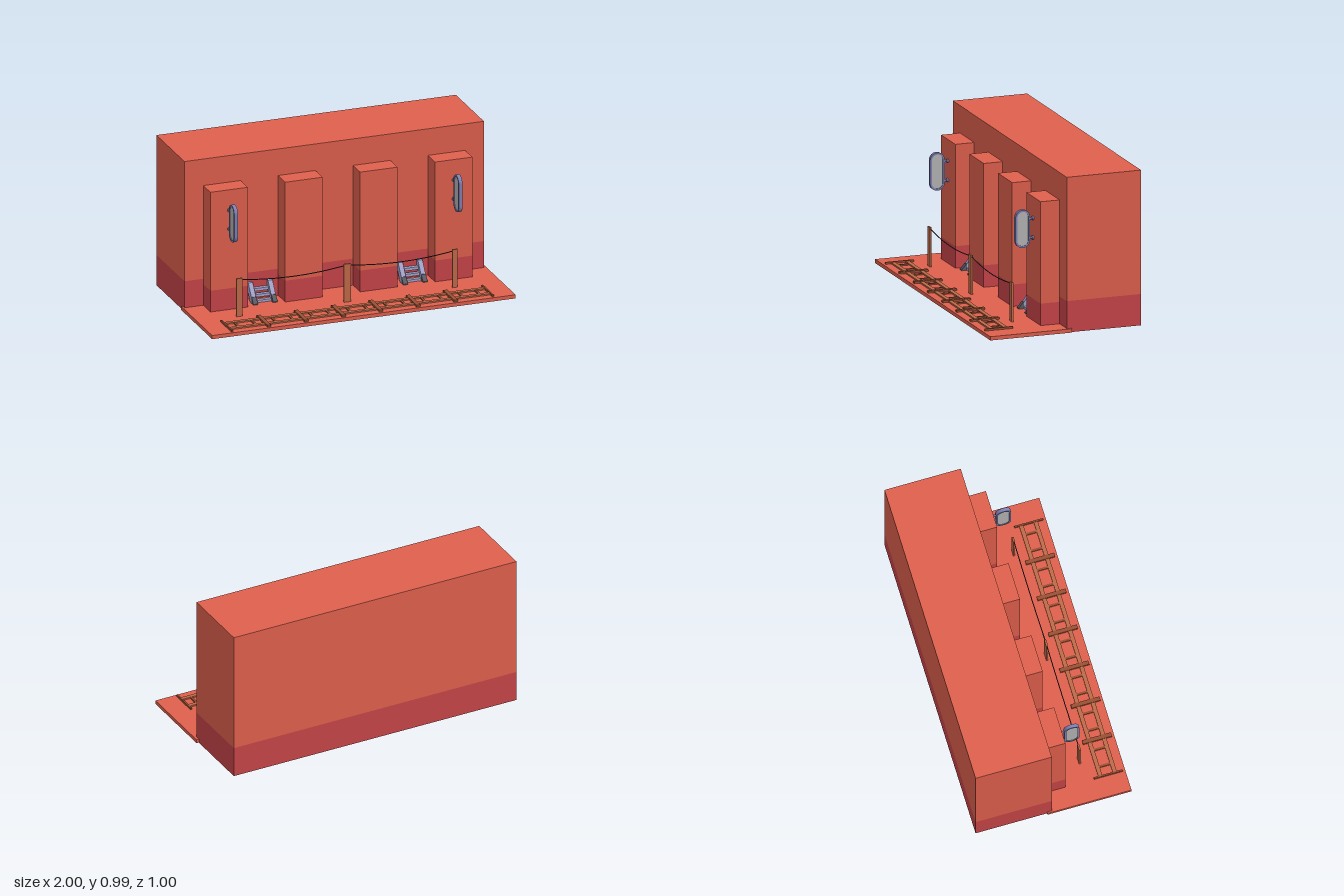
import * as THREE from 'three';

const mat = (color, side = THREE.FrontSide) =>
  new THREE.MeshStandardMaterial({ color, side });
const WALL = mat(0xe0604d), BASE = mat(0xc74548), WOOD = mat(0xbf6a48), DARKWOOD = mat(0x9a5034);
const STEEL = mat(0xa3a3cc), FOOT = mat(0x5c5c68), FRAME = mat(0x8080b4), PANEL = mat(0xb4b4b4), ROPE = mat(0x4a3030);

function mesh(parent, name, geometry, material) {
  const m = new THREE.Mesh(geometry, material);
  m.name = name;
  parent.add(m);
  return m;
}

// Box given by its lower and upper corner
function box(parent, name, material, [x0, y0, z0], [x1, y1, z1]) {
  const m = mesh(parent, name, new THREE.BoxGeometry(x1 - x0, y1 - y0, z1 - z0), material);
  m.position.set((x0 + x1) / 2, (y0 + y1) / 2, (z0 + z1) / 2);
  return m;
}

function group(parent, name, x = 0, y = 0, z = 0) {
  const g = new THREE.Group();
  g.name = name;
  g.position.set(x, y, z);
  parent.add(g);
  return g;
}

// Upright rounded outline, half width r, half height h
function stadium(r, h) {
  const s = new THREE.Shape();
  s.absarc(0, h - r, r, 0, Math.PI, false);
  s.absarc(0, r - h, r, Math.PI, Math.PI * 2, false);
  s.closePath();
  return s;
}

// Profile in (z, y) extruded across x, centred on x
function sideProfile(parent, name, material, points, x, width) {
  const shape = new THREE.Shape(points.map(([z, y]) => new THREE.Vector2(-z, y)));
  const geo = new THREE.ExtrudeGeometry(shape, { depth: width, bevelEnabled: false });
  geo.translate(0, 0, -width / 2).rotateY(Math.PI / 2);
  mesh(parent, name, geo, material).position.x = x;
}

// Oval sign standing out from a pillar on two brackets
function addSign(parent, x) {
  const sign = group(parent, 'ovalSign', x, 0.62, 0.19);
  const outline = stadium(0.048, 0.121);
  outline.holes.push(stadium(0.036, 0.109));
  const opts = (depth) => ({ depth, bevelEnabled: false, curveSegments: 16 });
  const place = (name, shape, depth, material) => mesh(sign, name,
    new THREE.ExtrudeGeometry(shape, opts(depth)).translate(0, 0, -depth / 2).rotateY(Math.PI / 2), material);
  place('signFrame', outline, 0.024, FRAME);
  place('signPanel', stadium(0.037, 0.11), 0.016, PANEL);
  for (const y of [-0.063, 0.061]) {
    const arm = mesh(sign, 'bracketArm', new THREE.CylinderGeometry(0.007, 0.007, 0.03, 12).rotateX(Math.PI / 2), FRAME);
    arm.position.set(0, y, -0.06);
    const plate = mesh(sign, 'bracketPlate', new THREE.CylinderGeometry(0.012, 0.012, 0.012, 12).rotateX(Math.PI / 2), FRAME);
    plate.position.set(0, y, -0.069);
  }
}

// Short steel steps between two sloping stringers
function addSteps(parent, x) {
  const steps = group(parent, 'steps', x);
  for (const s of [-1, 1]) {
    sideProfile(steps, 'stringer', STEEL,
      [[-0.01, 0.1], [-0.01, 0.14], [0.01, 0.14], [0.065, 0.066], [0.065, 0.025], [0.04, 0.025]], s * 0.065, 0.03);
    sideProfile(steps, 'stringerFoot', FOOT,
      [[0.06, 0.025], [0.06, 0.066], [0.07, 0.066], [0.1, 0.03], [0.1, 0.025]], s * 0.065, 0.03);
  }
  for (let i = 0; i < 3; i++) {
    const y = 0.1 - i * 0.03, z = -0.01 + i * 0.025;
    box(steps, 'tread', STEEL, [-0.05, y - 0.018, z], [0.05, y, z + 0.027]);
  }
}

export function createModel() {
  const model = new THREE.Group();
  model.name = 'buildingWithTrack';
  const cx = -0.003; // centre of everything on the slab

  box(model, 'groundSlab', WALL, [-1, 0.001, -0.04], [1, 0.025, 0.5]);

  // Main block with darker plinth
  box(model, 'plinth', BASE, [cx - 0.987, 0, -0.5], [cx + 0.987, 0.2, -0.01]);
  box(model, 'mainWall', WALL, [cx - 0.987, 0.2, -0.5], [cx + 0.987, 0.99, -0.01]);

  // Four pillars on the front
  for (const px of [-0.74, -0.247, 0.247, 0.74]) {
    const x = cx + px;
    box(model, 'pillarBase', BASE, [x - 0.123, 0.005, -0.015], [x + 0.123, 0.165, 0.115]);
    box(model, 'pillar', WALL, [x - 0.123, 0.165, -0.015], [x + 0.123, 0.815, 0.115]);
  }

  for (const s of [-1, 1]) {
    addSign(model, cx + s * 0.74);
    addSteps(model, cx + s * 0.494);
  }

  // Rope fence: three posts and two sagging ropes
  const posts = [-0.725, -0.014, 0.696];
  posts.forEach((x, i) => {
    const w = i === 1 ? 0.023 : i === 0 ? 0.02 : 0.017;
    box(model, 'fencePost', WOOD, [x - w, 0.025, 0.238], [x + w, 0.275, 0.25]);
    if (i === 0) return;
    const a = posts[i - 1];
    const curve = new THREE.QuadraticBezierCurve3(
      new THREE.Vector3(a, 0.267, 0.244), new THREE.Vector3((a + x) / 2, 0.213, 0.244), new THREE.Vector3(x, 0.267, 0.244));
    mesh(model, 'fenceRope', new THREE.TubeGeometry(curve, 24, 0.003, 6), ROPE);
  });

  // Track lying on the slab: rails, sleepers and thin rungs
  const track = group(model, 'track', cx);
  for (const z of [0.341, 0.434])
    box(track, 'rail', WOOD, [-0.862, 0.025, z - 0.013], [0.862, 0.034, z + 0.013]);
  const pitch = 0.246;
  for (let i = 0; i < 8; i++) {
    const x = (i - 3.5) * pitch;
    const x0 = i === 0 ? x - 0.004 : x - 0.013, x1 = i === 7 ? x + 0.004 : x + 0.013;
    box(track, 'sleeper', DARKWOOD,
      [i === 7 ? x - 0.006 : x0, 0.025, 0.298], [i === 0 ? x + 0.006 : x1, 0.038, 0.484]);
    if (i < 7) for (const f of [0.27, 0.73]) {
      const r = x + f * pitch;
      box(track, 'rung', DARKWOOD, [r - 0.007, 0.025, 0.35], [r + 0.007, 0.033, 0.425]);
    }
  }
  return model;
}
